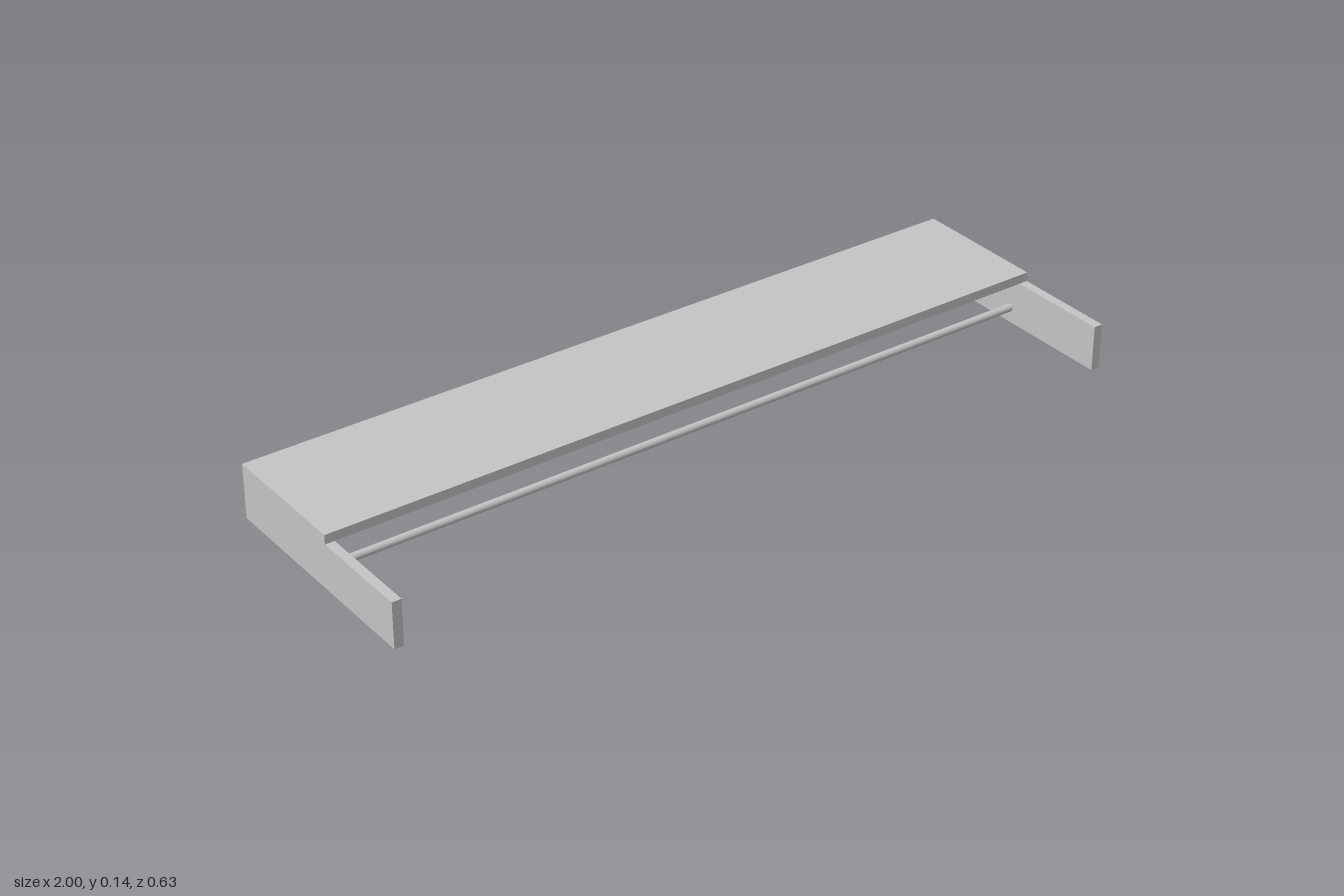
import * as THREE from 'three';

export function createModel() {
  const group = new THREE.Group();
  const grey = new THREE.MeshStandardMaterial({ color: 0xc4c4c4 });
  grey.name = 'light grey';

  const board = 0.024; // board thickness
  const height = 0.119; // height of the frame below the shelf
  const depth = 0.63;

  function add(name, geometry, x, y, z) {
    const mesh = new THREE.Mesh(geometry, grey);
    mesh.name = name;
    mesh.position.set(x, y, z);
    group.add(mesh);
    return mesh;
  }

  // Shelf board resting on the rear of the frame
  const shelfDepth = 0.358;
  add('shelf', new THREE.BoxGeometry(2, board, shelfDepth),
    0, height + board / 2, -depth / 2 + shelfDepth / 2);

  // Side arms reaching forward past the shelf
  for (const [name, side] of [['leftArm', 1], ['rightArm', -1]]) {
    add(name, new THREE.BoxGeometry(board, height, depth),
      side * (1 - board / 2), height / 2, 0);
  }

  // Back panel fitted between the arms
  const inner = 2 - 2 * board;
  add('backPanel', new THREE.BoxGeometry(inner, height, board),
    0, height / 2, -depth / 2 + board / 2);

  // Round hanging rail under the front of the shelf
  const rail = new THREE.CylinderGeometry(0.01, 0.01, inner, 24);
  rail.rotateZ(Math.PI / 2);
  add('hangingRail', rail, 0, 0.039, 0.013);

  return group;
}
